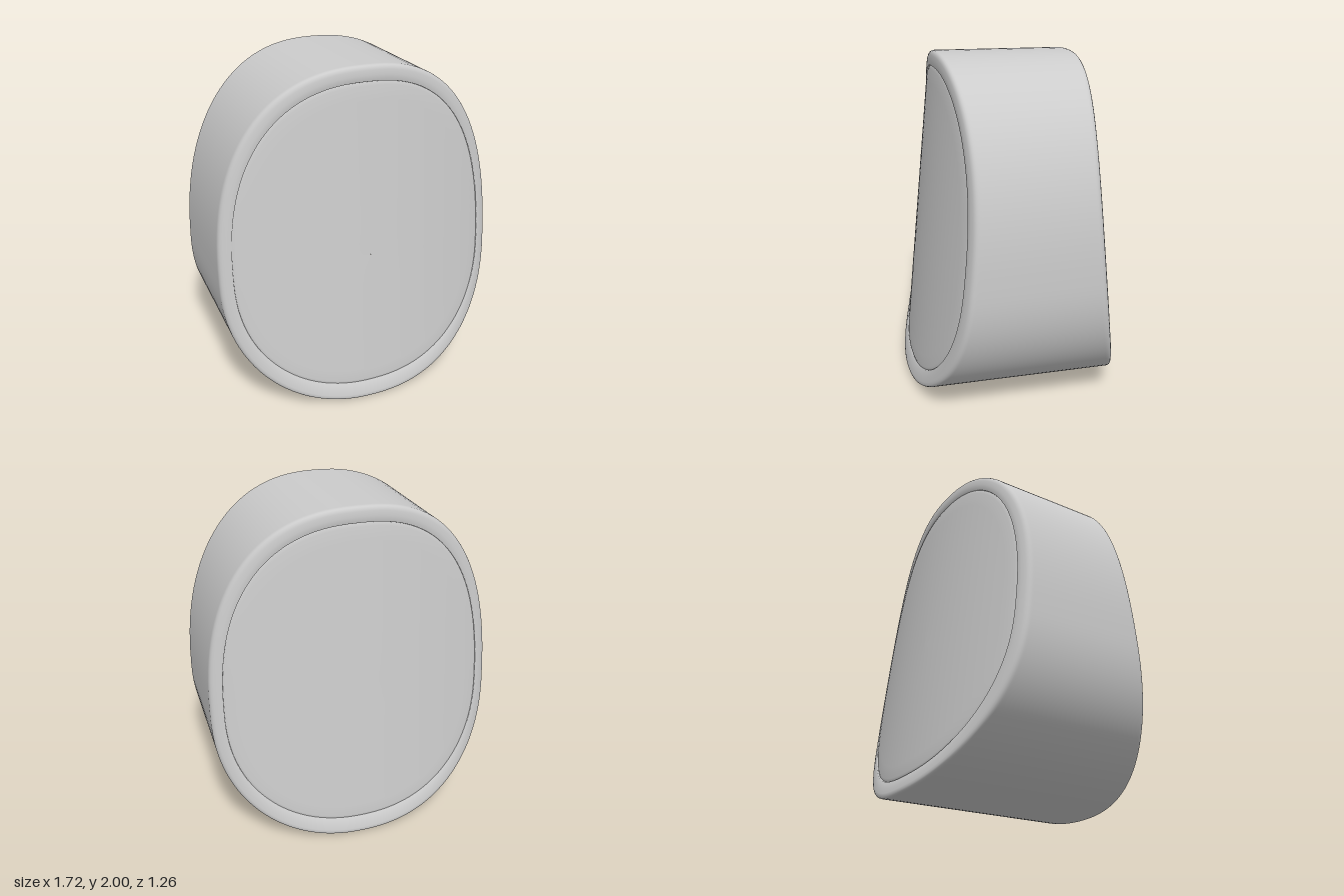
import * as THREE from 'three';

const SEGMENTS = 128;
const CENTRE_Y = 0.92;

// Depth of the leaning, sideways-curved face
const faceZ = (x, y) => 0.61 - 0.103 * y - 0.2 * x * x;

// Egg-like rounded outline; inset 0 is the outer edge, 1 is the panel edge
function outline(a, inset) {
  const mix = (p, q) => THREE.MathUtils.lerp(p, q, inset);
  const c = Math.cos(a), s = Math.sin(a);
  const power = s > 0 ? 2 / 2.4 : 2 / 2.3;
  const height = s > 0 ? mix(1.18, 1.06) : mix(0.82, 0.75);
  return [
    mix(0.86, 0.785) * Math.sign(c) * Math.abs(c) ** power,
    mix(0.82, 0.85) + height * Math.sign(s) * Math.abs(s) ** power,
  ];
}

// One closed loop of points on the front (side 1) or back (side -1)
function loop(side, inset, lift, scale = 1) {
  const points = [];
  for (let i = 0; i < SEGMENTS; i++) {
    const a = (i / SEGMENTS) * Math.PI * 2;
    const [ox, oy] = outline(a, inset);
    const x = ox * scale, y = CENTRE_Y + (oy - CENTRE_Y) * scale;
    // The rim flares at the foot and falls away a little at the sides
    const flare = (1 - inset) * (0.02 * Math.max(0, -Math.sin(a)) ** 2 - 0.01 * Math.cos(a) ** 2);
    points.push(x, y, side * (faceZ(x, y) + lift + flare));
  }
  return points;
}

// Joins successive loops into a smooth surface
function skin(name, loops, material) {
  const index = [];
  for (let r = 0; r < loops.length - 1; r++) {
    for (let i = 0; i < SEGMENTS; i++) {
      const j = (i + 1) % SEGMENTS;
      const a = r * SEGMENTS + i, b = r * SEGMENTS + j;
      const c = a + SEGMENTS, d = b + SEGMENTS;
      index.push(a, c, d, a, d, b);
    }
  }
  const geometry = new THREE.BufferGeometry();
  geometry.setAttribute('position', new THREE.Float32BufferAttribute(loops.flat(), 3));
  geometry.setIndex(index);
  geometry.computeVertexNormals();
  const mesh = new THREE.Mesh(geometry, material);
  mesh.name = name;
  return mesh;
}

export function createModel() {
  const model = new THREE.Group();
  model.name = 'roundedCasing';
  const grey = new THREE.MeshStandardMaterial({ color: 0xcccccc });

  // Casing: rim from the panel edge, rounded corner, then the side band
  const rim = [[1, -0.006], [0.97, 0.002], [0.6, 0.006], [0.3, 0.006], [0.15, 0.003],
    [0.06, -0.003], [0.015, -0.011], [0, -0.02], [0, -0.03]];
  const front = rim.map(([inset, lift]) => loop(1, inset, lift));
  const back = rim.map(([inset, lift]) => loop(-1, inset, lift)).reverse();
  model.add(skin('casing', [...front, ...back], grey));

  // Curved panels set into both faces
  const scales = [0.001, 0.1, 0.2, 0.3, 0.4, 0.5, 0.6, 0.7, 0.8, 0.9, 0.98, 1];
  const panel = (side) => scales.map((s) => loop(side, 1, s === 1 ? -0.006 : 0, s));
  model.add(skin('frontPanel', panel(1), grey));
  model.add(skin('backPanel', panel(-1).reverse(), grey));
  return model;
}
